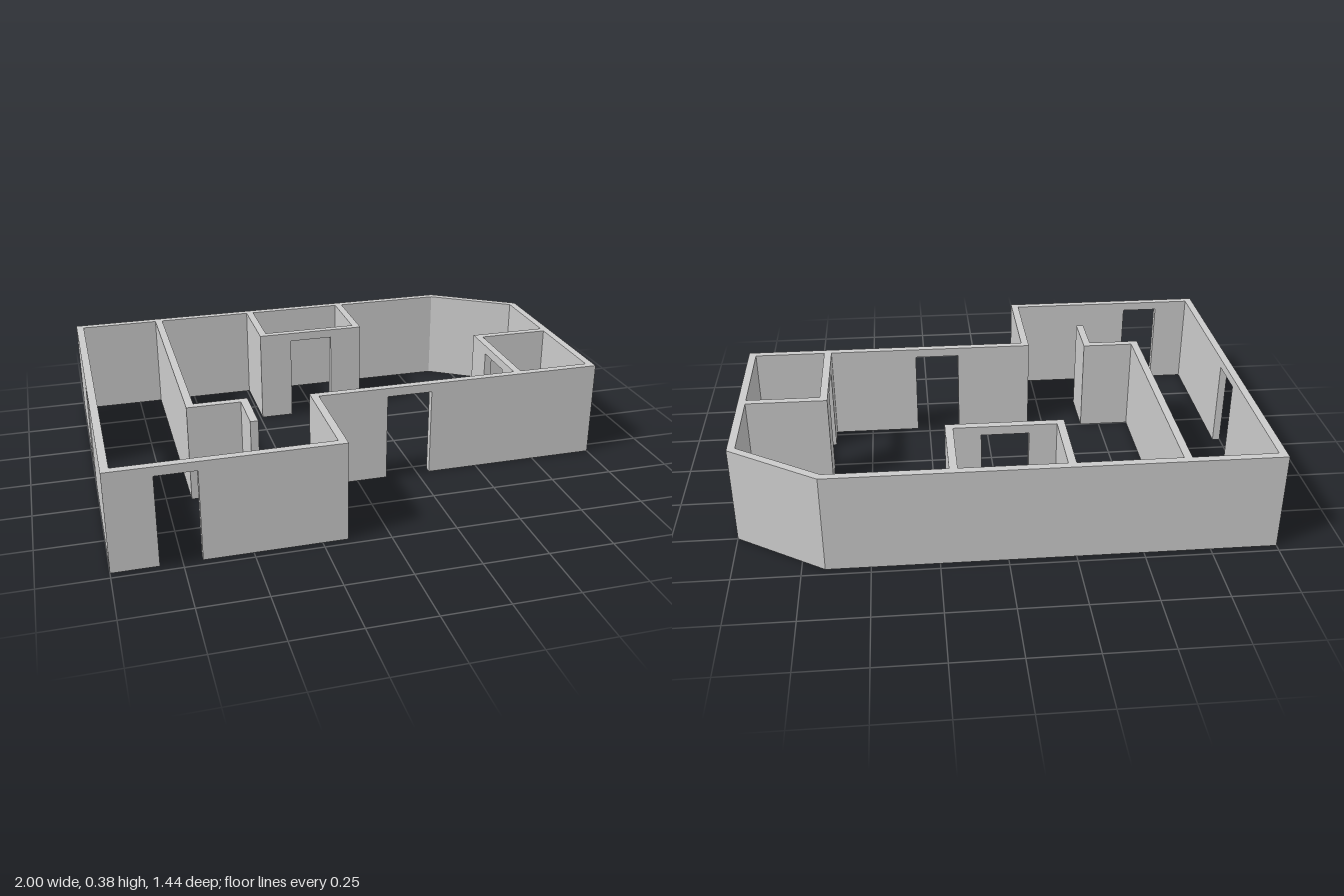
import * as THREE from 'three';

const H = 0.385;      // wall height
const T = 0.03;       // wall thickness
const DOOR_H = 0.35;  // door opening height

export function createModel() {
  const model = new THREE.Group();
  const material = new THREE.MeshStandardMaterial({ color: 0xcccccc, flatShading: true });

  // Straight wall: elevation outline with an optional door notch, extruded by T.
  // axis 'x': from..to along x, 'at' is the smallest z of the wall.
  // axis 'z': from..to along z, 'at' is the smallest x of the wall.
  function wall(name, axis, from, to, at, door) {
    const outline = [[from, 0]];
    if (door) outline.push([door[0], 0], [door[0], DOOR_H], [door[1], DOOR_H], [door[1], 0]);
    outline.push([to, 0], [to, H], [from, H]);
    const shape = new THREE.Shape(outline.map(p => new THREE.Vector2(...p)));
    const group = new THREE.Group();
    group.name = name;
    const body = new THREE.Mesh(
      new THREE.ExtrudeGeometry(shape, { depth: T, bevelEnabled: false }), material);
    body.name = name + 'Body';
    group.add(body);

    // Flat underside closing the foot of the doorway
    if (door) {
      const sill = new THREE.Mesh(new THREE.PlaneGeometry(door[1] - door[0], T), material);
      sill.name = name + 'Threshold';
      sill.rotation.x = Math.PI / 2;
      sill.position.set((door[0] + door[1]) / 2, 0, T / 2);
      group.add(sill);
    }
    if (axis === 'x') {
      group.position.z = at;
    } else {
      group.rotation.y = -Math.PI / 2;
      group.position.x = at + T;
    }
    model.add(group);
  }

  // Outer walls
  wall('backWall', 'x', -1, 0.655, -0.72);
  wall('rightSideWall', 'z', -0.69, 0.69, -1, [-0.11, 0.065]);
  wall('frontWall', 'x', -1, -0.155, 0.69, [-0.83, -0.68]);
  wall('notchWall', 'z', 0.305, 0.69, -0.185);
  wall('recessedFrontWall', 'x', -0.185, 1, 0.275, [0.12, 0.3]);
  wall('leftSideWall', 'z', -0.485, 0.275, 0.97);

  // Slanted corner wall, mitred into its neighbours (plan outline, x and -z)
  const plan = [[0.655, 0.69], [0.97, 0.485], [1, 0.485], [1, 0.5], [0.665, 0.72], [0.655, 0.72]];
  const corner = new THREE.Mesh(
    new THREE.ExtrudeGeometry(new THREE.Shape(plan.map(p => new THREE.Vector2(...p))),
      { depth: H, bevelEnabled: false }), material);
  corner.name = 'slantedCornerWall';
  corner.rotation.x = -Math.PI / 2;
  model.add(corner);

  // Long partition with its hooked end
  wall('longPartition', 'z', -0.69, 0.25, -0.655);
  wall('partitionReturn', 'x', -0.655, -0.42, 0.25);
  wall('partitionStub', 'z', 0.28, 0.46, -0.45);

  // Small room against the back wall
  wall('backRoomRightWall', 'z', -0.69, -0.41, -0.24);
  wall('backRoomLeftWall', 'z', -0.69, -0.41, 0.18);
  wall('backRoomFrontWall', 'x', -0.24, 0.21, -0.41, [-0.105, 0.075]);

  // Small room in the front left corner
  wall('cornerRoomBackWall', 'x', 0.655, 0.97, -0.15);
  wall('cornerRoomSideWall', 'z', -0.12, 0.275, 0.655, [-0.015, 0.165]);

  return model;
}
